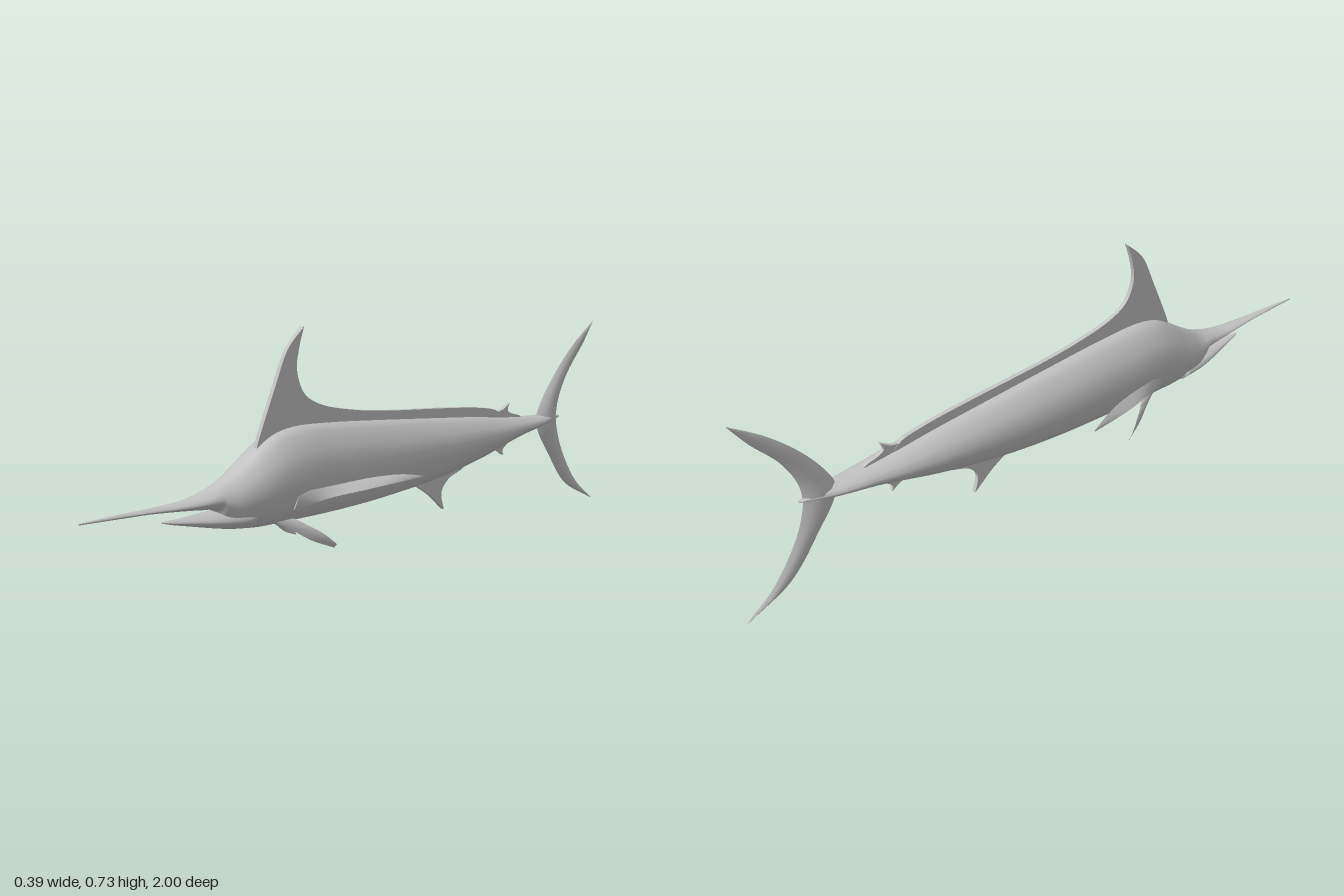
import * as THREE from 'three';
import { toCreasedNormals } from 'three/addons/utils/BufferGeometryUtils.js';

const V = (x, y, z) => new THREE.Vector3(x, y, z);

// Skin a list of closed rings (equal point counts), capped at both ends.
function loft(rings) {
  const n = rings[0].length, pts = rings.flat(), index = [];
  for (let i = 0; i < rings.length - 1; i++) {
    for (let j = 0; j < n; j++) {
      const a = i * n + j, b = i * n + (j + 1) % n;
      index.push(a, b, b + n, a, b + n, a + n);
    }
  }
  const all = pts.slice();
  [0, rings.length - 1].forEach((r, end) => {
    const mid = rings[r].reduce((s, p) => s.add(p), V(0, 0, 0)).divideScalar(n);
    const c = all.push(mid) - 1;
    for (let j = 0; j < n; j++) {
      const a = r * n + j, b = r * n + (j + 1) % n;
      if (end) index.push(a, b, c); else index.push(b, a, c);
    }
  });
  // Turn the skin outward whatever way the rings run
  let volume = 0;
  for (let i = 0; i < index.length; i += 3) {
    volume += all[index[i]].dot(V(0, 0, 0).crossVectors(all[index[i + 1]], all[index[i + 2]]));
  }
  if (volume < 0) index.reverse();
  const g = new THREE.BufferGeometry().setFromPoints(all);
  g.setIndex(index);
  g.computeVertexNormals();
  return g;
}

// Half outline of the body section, from back to belly: [width, height]
const HALF = [[0, 1], [0.25, 0.985], [0.5, 0.94], [0.8, 0.79], [1, 0.62], [0.97, 0.45], [0.75, 0.24], [0.45, 0.08], [0, 0]];
const OUTLINE = [...HALF, ...HALF.slice(1, -1).reverse().map(([x, y]) => [-x, y])];

// Loft from stations [z, bottom, top, half width], smoothed along the length
function hull(stations, samples) {
  const low = new THREE.CatmullRomCurve3(stations.map(([z, b, , w]) => V(w, b, z)), false, 'centripetal');
  const high = new THREE.CatmullRomCurve3(stations.map(([z, , t, w]) => V(w, t, z)), false, 'centripetal');
  const rings = [];
  for (let i = 0; i <= samples; i++) {
    const b = low.getPoint(i / samples), t = high.getPoint(i / samples);
    rings.push(OUTLINE.map(([x, y]) => V(x * (b.x + t.x) / 2, b.y + (t.y - b.y) * y, b.z + (t.z - b.z) * y)));
  }
  return loft(rings);
}

// Lens-section fin between two edges; thick lists half thicknesses along it
function blade(edgeA, edgeB, thick, side, samples = 20) {
  const a = new THREE.CatmullRomCurve3(edgeA.map(p => V(...p)), false, 'centripetal');
  const b = new THREE.CatmullRomCurve3(edgeB.map(p => V(...p)), false, 'centripetal');
  const h = new THREE.CatmullRomCurve3(thick.map((t, i) => V(t, i, 0)));
  const n = V(...side).normalize(), rings = [];
  for (let i = 0; i <= samples; i++) {
    const p = a.getPoint(i / samples), q = b.getPoint(i / samples);
    const t = Math.max(0.001, h.getPoint(i / samples).x);
    const at = (f, s) => p.clone().lerp(q, f).addScaledVector(n, s * t);
    rings.push([p, at(0.2, 0.75), at(0.5, 1), at(0.8, 0.6), q, at(0.8, -0.6), at(0.5, -1), at(0.2, -0.75)]);
  }
  return toCreasedNormals(loft(rings), 0.8);
}

// Flat upright fin on the centre line: curved front and rear edges given as [z, y]
function plate(front, rear, depth) {
  const v = list => list.map(([z, y]) => new THREE.Vector2(z, y));
  const shape = new THREE.Shape();
  shape.moveTo(...front[0]);
  shape.splineThru(v(front.slice(1)));
  shape.splineThru(v(rear));
  shape.closePath();
  const g = new THREE.ExtrudeGeometry(shape, { depth, bevelEnabled: false, curveSegments: 28 });
  return g.translate(0, 0, -depth / 2).rotateY(-Math.PI / 2);
}

export function createModel() {
  const model = new THREE.Group();
  model.name = 'billfish';
  const skin = new THREE.MeshStandardMaterial({ color: 0xc0c0c0, side: THREE.DoubleSide });
  skin.name = 'grey skin';
  const add = (name, geometry) => {
    const mesh = new THREE.Mesh(geometry, skin);
    mesh.name = name;
    model.add(mesh);
    return mesh;
  };

  // Body, head and long upper bill
  add('body', hull([
    [-0.81, 0.312, 0.318, 0.005], [-0.75, 0.3, 0.33, 0.025], [-0.7, 0.295, 0.333, 0.038],
    [-0.6, 0.282, 0.345, 0.052], [-0.5, 0.262, 0.36, 0.066], [-0.4, 0.24, 0.377, 0.076],
    [-0.2, 0.21, 0.405, 0.088], [0, 0.196, 0.432, 0.093], [0.2, 0.196, 0.457, 0.093],
    [0.33, 0.201, 0.466, 0.091], [0.4, 0.204, 0.455, 0.087], [0.45, 0.207, 0.43, 0.082],
    [0.5, 0.214, 0.397, 0.074], [0.56, 0.228, 0.362, 0.06], [0.585, 0.255, 0.351, 0.053],
    [0.6, 0.284, 0.345, 0.048], [0.65, 0.295, 0.333, 0.037], [0.7, 0.303, 0.327, 0.029],
    [0.8, 0.315, 0.328, 0.017], [0.9, 0.322, 0.332, 0.009], [1, 0.329, 0.333, 0.001],
  ], 80));

  // Short lower jaw
  add('lowerJaw', hull([
    [0.5, 0.216, 0.28, 0.058], [0.56, 0.226, 0.281, 0.054], [0.62, 0.241, 0.281, 0.042],
    [0.68, 0.258, 0.282, 0.026], [0.73, 0.272, 0.284, 0.013], [0.76, 0.282, 0.286, 0.004],
  ], 16));

  // Fins along the back
  add('dorsalFin', plate(
    [[0.46, 0.41], [0.445, 0.455], [0.39, 0.58], [0.345, 0.675], [0.285, 0.733]],
    [[0.303, 0.68], [0.312, 0.615], [0.285, 0.548], [0.22, 0.508], [0.115, 0.479], [-0.02, 0.455],
      [-0.286, 0.422], [-0.42, 0.402], [-0.5, 0.38], [-0.5, 0.345], [-0.2, 0.38], [0.1, 0.42], [0.33, 0.44]], 0.014));
  add('secondDorsalFin', plate(
    [[-0.49, 0.34], [-0.5, 0.372], [-0.53, 0.38], [-0.56, 0.396]],
    [[-0.553, 0.375], [-0.57, 0.362], [-0.615, 0.345], [-0.6, 0.325]], 0.012));

  // Fins along the belly
  add('analFin', plate(
    [[-0.12, 0.22], [-0.15, 0.203], [-0.206, 0.165], [-0.265, 0.11]],
    [[-0.254, 0.165], [-0.286, 0.203], [-0.35, 0.226], [-0.33, 0.25]], 0.014));
  add('secondAnalFin', plate(
    [[-0.47, 0.275], [-0.485, 0.262], [-0.51, 0.25], [-0.535, 0.233]],
    [[-0.533, 0.25], [-0.555, 0.27], [-0.55, 0.29]], 0.012));

  // Crescent tail, swept from the upper tip through the root to the lower tip
  add('tailFin', blade(
    [[0, 0.61, -0.975], [0, 0.54, -0.874], [0, 0.45, -0.78], [0, 0.355, -0.712], [0, 0.315, -0.7],
      [0, 0.275, -0.712], [0, 0.203, -0.76], [0, 0.085, -0.85], [0, 0.002, -0.995]],
    [[0, 0.611, -0.98], [0, 0.54, -0.928], [0, 0.455, -0.853], [0, 0.375, -0.81], [0, 0.315, -0.8],
      [0, 0.26, -0.81], [0, 0.19, -0.838], [0, 0.08, -0.91], [0, 0.001, -1]],
    [0.003, 0.007, 0.013, 0.02, 0.024, 0.02, 0.015, 0.012, 0.002], [1, 0, 0], 48));

  // Paired fins
  for (const s of [1, -1]) {
    const flip = list => list.map(([x, y, z]) => [x * s, y, z]);
    const side = s > 0 ? 'left' : 'right';
    add(side + 'PectoralFin', blade(
      flip([[0.075, 0.302, 0.37], [0.1, 0.307, 0.26], [0.135, 0.316, 0.16], [0.17, 0.317, 0.08], [0.195, 0.307, 0.02]]),
      flip([[0.065, 0.252, 0.38], [0.11, 0.278, 0.29], [0.148, 0.29, 0.2], [0.175, 0.298, 0.11], [0.195, 0.303, 0.02]]),
      [0.006, 0.005, 0.004, 0.003, 0.001], [s * 0.7, -0.5, 0.3]));
    add(side + 'PelvicFin', blade(
      flip([[0.014, 0.218, 0.41], [0.035, 0.185, 0.36], [0.058, 0.15, 0.31], [0.08, 0.122, 0.25]]),
      flip([[0.018, 0.218, 0.35], [0.048, 0.196, 0.32], [0.075, 0.166, 0.28], [0.09, 0.134, 0.248]]),
      [0.005, 0.005, 0.004, 0.002], [s * 0.7, 0.7, 0]));
  }
  return model;
}
